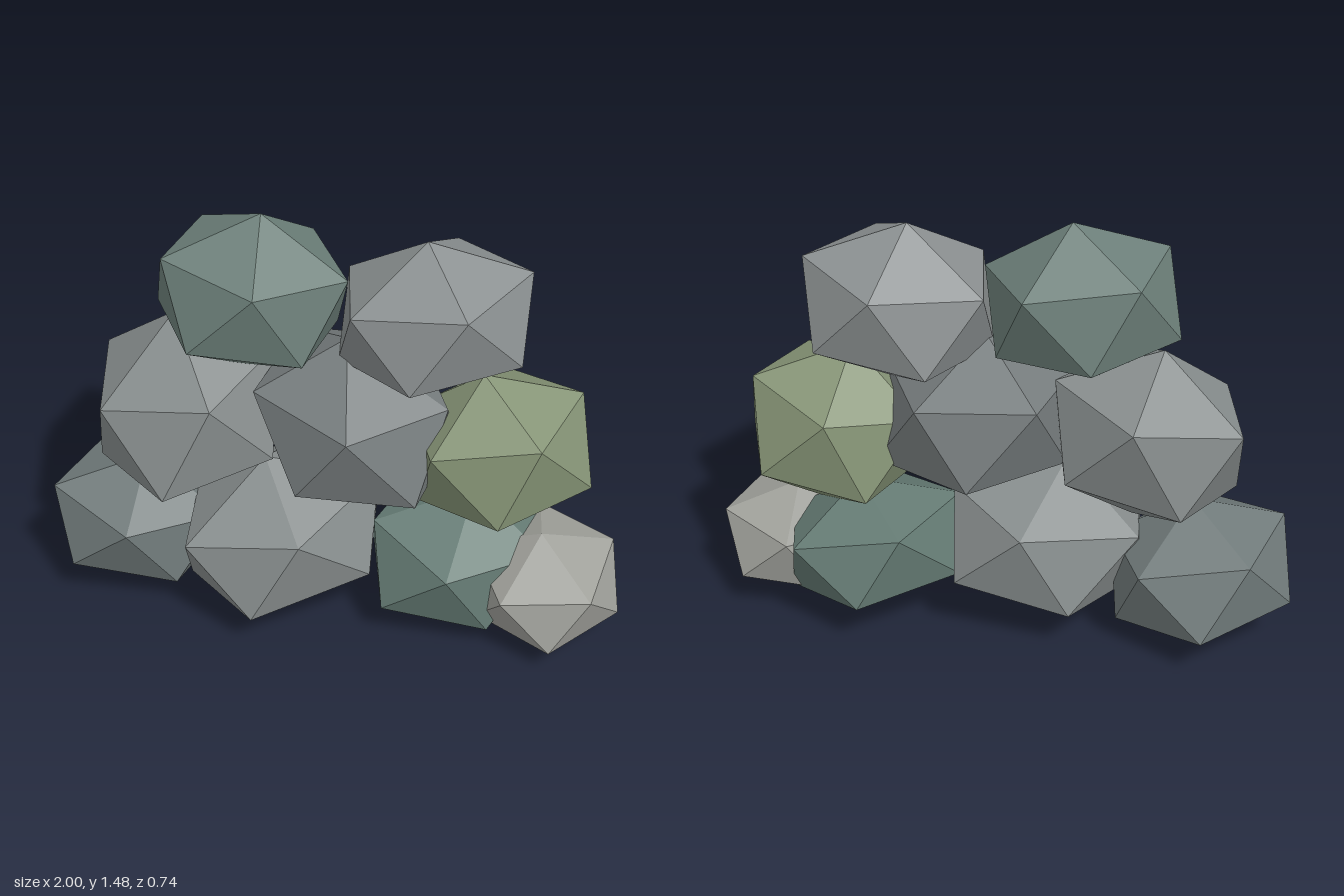
import * as THREE from 'three';
import { ConvexGeometry } from 'three/addons/geometries/ConvexGeometry.js';

const PHI = (1 + Math.sqrt(5)) / 2;

// Each boulder is a stretched icosahedron: its centre, then three successive
// corners (relative to the centre) of the zigzag belt around it.
const BOULDERS = [
  { name: 'bottomRowEndBoulder', color: 0x707a7a, center: [-0.687, 0.256, -0.017],
    belt: [[0.313, 0.064, 0.068], [0.04, 0.251, 0.025], [-0.265, 0.155, 0.137]] },
  { name: 'bottomRowMiddleBoulder', color: 0x888e8e, center: [-0.162, 0.302, 0.035],
    belt: [[0.313, 0.198, -0.08], [-0.056, 0.291, 0.02], [-0.321, 0.083, -0.115]] },
  { name: 'bottomRowMossyBoulder', color: 0x647a73, center: [0.428, 0.249, -0.047],
    belt: [[0.308, 0.053, 0.08], [0.053, 0.243, 0], [-0.27, 0.144, 0.12]] },
  { name: 'smallPebble', color: 0xa0a19b, center: [0.741, 0.202, 0.025],
    belt: [[0.217, 0.12, -0.1], [-0.019, 0.195, 0.015], [-0.259, 0.067, -0.057]] },
  { name: 'middleRowEndBoulder', color: 0x888e8e, center: [-0.491, 0.749, -0.01],
    belt: [[0.297, 0.214, -0.077], [-0.045, 0.326, -0.02], [-0.318, 0.102, -0.145]] },
  { name: 'middleRowCoreBoulder', color: 0x767c7d, center: [0.08, 0.765, 0],
    belt: [[0.315, 0.115, 0.075], [-0.03, 0.3, 0], [-0.315, 0.14, 0.132]] },
  { name: 'middleRowGreenBoulder', color: 0x869476, center: [0.559, 0.691, -0.02],
    belt: [[0.254, 0.193, -0.086], [-0.06, 0.291, 0.022], [-0.313, 0.07, -0.072]] },
  { name: 'topRowMossyBoulder', color: 0x6c7f79, center: [-0.265, 1.206, 0],
    belt: [[0.322, 0.088, 0.03], [0.035, 0.278, -0.01], [-0.258, 0.16, 0.128]] },
  { name: 'topRowGreyBoulder', color: 0x8b9091, center: [0.327, 1.167, -0.025],
    belt: [[0.3, 0.162, -0.06], [-0.027, 0.273, 0.01], [-0.298, 0.084, -0.113]] },
];

// Golden-ratio rule: the cap corner beside b, between belt corners a and c
const capCorner = (a, b, c) => a.clone().add(c).multiplyScalar(PHI).sub(b);

function boulderGeometry(belt) {
  const [a, b, c] = belt.map((p) => new THREE.Vector3(...p));
  const opposite = (v) => v.clone().negate();
  const half = [
    a, b, c,
    capCorner(a, b, c),
    capCorner(c, opposite(a), opposite(b)),
    capCorner(opposite(b), opposite(c), a),
  ];
  return new ConvexGeometry([...half, ...half.map(opposite)]);
}

export function createModel() {
  const rockPile = new THREE.Group();
  rockPile.name = 'rockPile';
  for (const { name, color, center, belt } of BOULDERS) {
    const material = new THREE.MeshStandardMaterial({ color, flatShading: true });
    const boulder = new THREE.Mesh(boulderGeometry(belt), material);
    boulder.name = name;
    boulder.position.set(...center);
    rockPile.add(boulder);
  }
  return rockPile;
}
